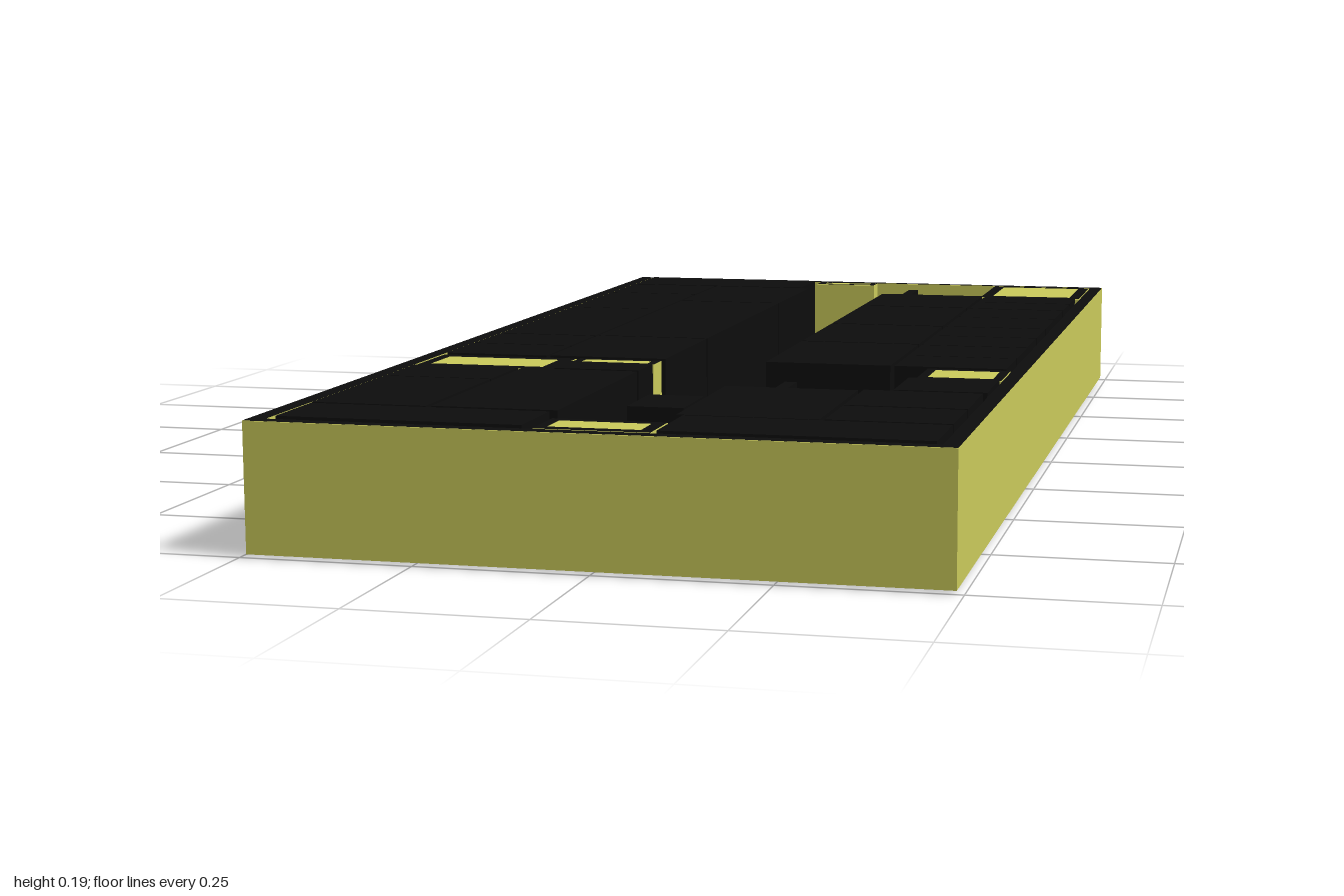
import * as THREE from 'three';

const yellow = new THREE.MeshStandardMaterial({ color: 0xcccc5c });
const black = new THREE.MeshStandardMaterial({ color: 0x0d0d0d });
const BASE = 0.005, FLOOR = 0.01, TOP = 0.19, ROOM_TOP = 0.193;

function add(group, name, geometry, material) {
  const mesh = new THREE.Mesh(geometry, material);
  mesh.name = name;
  group.add(mesh);
  return mesh;
}

// Upright box from its plan extents and heights
function block(group, name, [x0, x1, z0, z1], y0, y1, material) {
  const geo = new THREE.BoxGeometry(x1 - x0, y1 - y0, z1 - z0);
  geo.translate((x0 + x1) / 2, (y0 + y1) / 2, (z0 + z1) / 2);
  return add(group, name, geo, material);
}

// Rectangular plan outline with a rectangular opening
function frameShape([x0, x1, z0, z1], [a0, a1, b0, b1]) {
  const corners = (l, r, b, f) => [[l, -f], [r, -f], [r, -b], [l, -b]].map(p => new THREE.Vector2(...p));
  const shape = new THREE.Shape(corners(x0, x1, z0, z1));
  shape.holes.push(new THREE.Path(corners(a0, a1, b0, b1).reverse()));
  return shape;
}

function rim(group, name, outer, inner, y) {
  const geo = new THREE.ShapeGeometry(frameShape(outer, inner));
  geo.rotateX(-Math.PI / 2).translate(0, y, 0);
  return add(group, name, geo, black);
}

// Closed shaft: yellow body with a dark border around its top
function shaft(group, name, outer, inner, y0 = FLOOR) {
  const g = new THREE.Group();
  g.name = name;
  block(g, 'shaftBody', outer, y0, TOP, yellow);
  rim(g, 'shaftRim', outer, inner, TOP + 0.0008);
  group.add(g);
}

// Two-flight stair: down towards +x in front, back to the floor behind
function stair(group, name, [x0, x1, z0, z1]) {
  const g = new THREE.Group();
  g.name = name;
  const steps = 7, run = (x1 - x0) / steps, rise = (TOP - FLOOR) / (2 * steps), zm = (z0 + z1) / 2;
  for (let i = 0; i < steps; i++) {
    const a = x0 + i * run;
    const high = TOP - i * rise;
    const low = FLOOR + (i + 1) * rise;
    block(g, 'upperStep', [a, a + run, zm + 0.002, z1], high - 2 * rise, high, black);
    block(g, 'lowerStep', [a, a + run, z0, zm - 0.002], Math.max(FLOOR, low - 2 * rise), low, black);
  }
  group.add(g);
}

// Row of rooms between two x limits, one [start, end] pair per room
function rooms(group, name, x0, x1, spans) {
  for (const [z0, z1] of spans) block(group, name, [x0, x1, z0, z1], FLOOR, ROOM_TOP, black);
}

export function createModel() {
  const model = new THREE.Group();
  model.name = 'buildingFloor';

  // Floor slab, outer walls and their dark top edge
  const outer = [-0.49, 0.49, -1, 1], inner = [-0.465, 0.467, -0.985, 0.978];
  block(model, 'floorSlab', outer, BASE, FLOOR, yellow);
  const walls = new THREE.ExtrudeGeometry(frameShape(outer, inner), { depth: TOP - FLOOR, bevelEnabled: false });
  walls.rotateX(-Math.PI / 2).translate(0, FLOOR, 0);
  add(model, 'outerWalls', walls, yellow);
  rim(model, 'wallCap', outer, inner, TOP + 0.0005);

  // Rooms on the -x side of the corridor
  rooms(model, 'backRightRoom', -0.458, -0.108, [[-0.98, -0.838]]);
  rooms(model, 'outerRightRoom', -0.458, -0.288, [
    [-0.83, -0.67], [-0.667, -0.4], [-0.397, 0.016], [0.021, 0.154], [0.158, 0.287],
    [0.432, 0.56], [0.563, 0.837]]);
  rooms(model, 'innerRightRoom', -0.283, -0.09, [[-0.83, -0.553], [-0.548, 0.01], [0.015, 0.283]]);
  rooms(model, 'innerRightRoom', -0.28, -0.095, [[0.432, 0.834]]);
  rooms(model, 'serviceRoom', -0.231, -0.095, [[0.341, 0.423]]);
  rooms(model, 'frontRightRoom', -0.456, -0.103, [[0.845, 0.967]]);

  // Rooms on the +x side of the corridor
  rooms(model, 'innerLeftRoom', 0.075, 0.275, [
    [-0.762, -0.551], [-0.545, -0.254], [-0.248, 0.004], [0.01, 0.28], [0.551, 0.832]]);
  rooms(model, 'outerLeftRoom', 0.282, 0.458, [
    [-0.765, -0.66], [-0.655, -0.547], [-0.541, -0.404], [-0.401, -0.254], [-0.249, -0.119],
    [-0.115, 0.012], [0.016, 0.15], [0.153, 0.28], [0.543, 0.695], [0.701, 0.829]]);
  rooms(model, 'sideRoom', 0.325, 0.463, [[0.401, 0.535]]);
  rooms(model, 'frontLeftRoom', 0.085, 0.458, [[0.836, 0.97]]);
  rooms(model, 'corridorBooth', -0.012, 0.07, [[0.66, 0.775]]);

  // Shafts; the front one reaches below the slab
  shaft(model, 'backLeftShaft', [0.272, 0.465, -0.98, -0.77], [0.293, 0.445, -0.962, -0.792]);
  shaft(model, 'backShaft', [-0.095, 0.025, -0.982, -0.94], [-0.08, 0.013, -0.97, -0.952]);
  shaft(model, 'rightShaft', [-0.46, -0.235, 0.293, 0.425], [-0.443, -0.258, 0.315, 0.4]);
  shaft(model, 'smallRightShaft', [-0.231, -0.095, 0.288, 0.337], [-0.217, -0.108, 0.299, 0.326]);
  shaft(model, 'leftShaft', [0.335, 0.465, 0.282, 0.395], [0.35, 0.45, 0.297, 0.377]);
  shaft(model, 'frontShaft', [-0.085, 0.078, 0.888, 0.976], [-0.07, 0.06, 0.904, 0.957], 0);

  // Stairs
  stair(model, 'backStair', [0.11, 0.237, -0.98, -0.777]);
  stair(model, 'frontStair', [0.147, 0.277, 0.402, 0.532]);

  return model;
}
